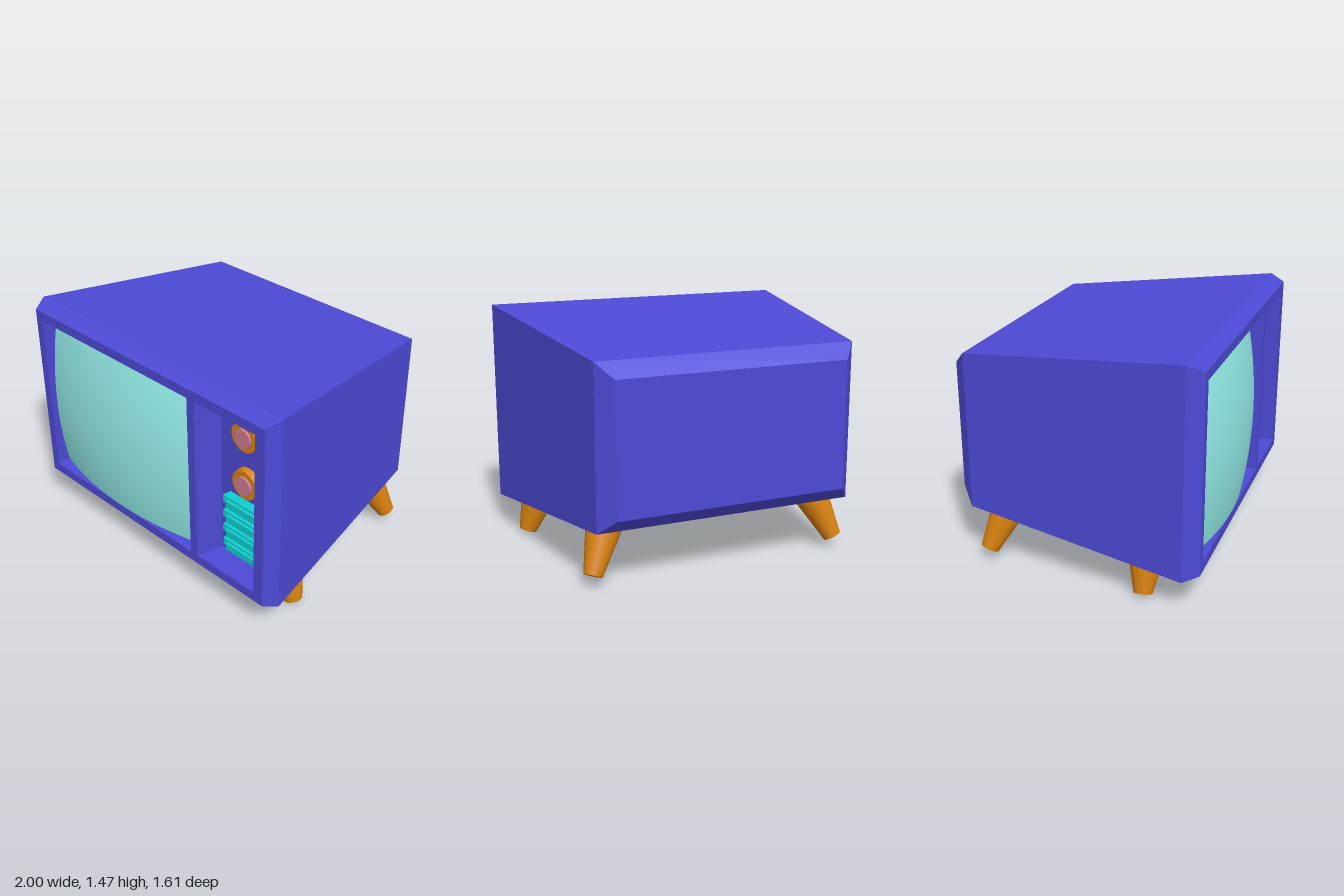
import * as THREE from 'three';

const mat = (color, extra = {}) => {
  const m = new THREE.MeshStandardMaterial(extra);
  m.color.set(color);
  return m;
};
const BLUE = mat(0x4d4ad6, { flatShading: true });
const ORANGE = mat(0xd9820f);
const PINK = mat(0xcf7a92);
const CYAN = mat(0x10d0d0, { flatShading: true });
const GLASS = mat(0x96f0ec, { side: THREE.DoubleSide });

// Rectangular rings [x0, x1, y0, y1, z], front to back, closed at the back.
// inward = true turns the faces to the inside, for a recess.
function loft(rings, inward = false) {
  const pos = [];
  const corners = rings.map(([x0, x1, y0, y1, z]) =>
    [[x0, y0, z], [x1, y0, z], [x1, y1, z], [x0, y1, z]]);
  const quad = (a, b, c, d) => {
    const q = inward ? [a, c, b, a, d, c] : [a, b, c, a, c, d];
    q.forEach((p) => pos.push(...p));
  };
  for (let k = 0; k < corners.length - 1; k++) {
    const a = corners[k], b = corners[k + 1];
    for (let i = 0; i < 4; i++) {
      const j = (i + 1) % 4;
      quad(a[i], b[i], b[j], a[j]);
    }
  }
  const e = corners[corners.length - 1];
  quad(e[3], e[2], e[1], e[0]);
  const g = new THREE.BufferGeometry();
  g.setAttribute('position', new THREE.Float32BufferAttribute(pos, 3));
  g.computeVertexNormals();
  return g;
}

function rectPath(x0, x1, y0, y1, Type = THREE.Shape) {
  return new Type([[x0, y0], [x1, y0], [x1, y1], [x0, y1]].map((p) => new THREE.Vector2(...p)));
}

// Tapered round bar between two points
function taper(bottom, top, rBottom, rTop) {
  const a = new THREE.Vector3(...bottom), b = new THREE.Vector3(...top);
  const dir = b.clone().sub(a);
  const g = new THREE.CylinderGeometry(rTop, rBottom, dir.length(), 32);
  g.applyQuaternion(new THREE.Quaternion().setFromUnitVectors(new THREE.Vector3(0, 1, 0), dir.normalize()));
  const mid = a.add(b).multiplyScalar(0.5);
  return g.translate(mid.x, mid.y, mid.z);
}

export function createModel() {
  const group = new THREE.Group();
  const add = (name, geometry, material, parent = group) => {
    const mesh = new THREE.Mesh(geometry, material);
    mesh.name = name;
    parent.add(mesh);
    return mesh;
  };

  // Tapered cabinet with chamfered front and back rims
  const front = 0.76, floor = 0.59;
  const shell = loft([
    [-0.96, 0.96, 0.24, 1.435, front],
    [-1, 1, 0.2, 1.475, 0.665],
    [-0.825, 0.805, 0.35, 1.325, -0.715],
    [-0.74, 0.715, 0.44, 1.235, -0.805],
  ]);
  add('cabinet', shell, BLUE);

  // Front frame with the screen and control openings
  const screenBox = [-0.905, 0.38, 0.3, 1.375];
  const controlBox = [0.435, 0.89, 0.3, 1.375];
  const face = rectPath(-0.96, 0.96, 0.24, 1.435);
  face.holes.push(rectPath(...screenBox, THREE.Path), rectPath(...controlBox, THREE.Path));
  add('frontFrame', new THREE.ShapeGeometry(face).translate(0, 0, front), BLUE);
  add('screenRecess', loft([[...screenBox, front], [...screenBox, floor]], true), BLUE);
  add('controlRecess', loft([[...controlBox, front], [0.475, 0.89, 0.3, 1.375, floor]], true), BLUE);

  // Bulging screen, top corners cut off
  const halfW = 0.642, halfH = 0.537;
  const screen = new THREE.PlaneGeometry(2, 2, 32, 32);
  const p = screen.attributes.position;
  for (let i = 0; i < p.count; i++) {
    const u = p.getX(i), v = p.getY(i);
    const sum = Math.abs(u) + Math.abs(v);
    const limit = v > 0 ? 1.86 : 1.97;
    const s = sum > limit ? limit / sum : 1;
    const x = u * s * halfW, y = v * s * halfH + 0.8375;
    p.setXYZ(i, x - 0.2625, y, 0.808 - 0.22 * x * x - 0.2 * (y - 0.79) ** 2);
  }
  screen.computeVertexNormals();
  add('screen', screen, GLASS);

  // Two dials
  [[0.685, 1.195], [0.69, 0.88]].forEach(([x, y]) => {
    const dial = new THREE.Group();
    dial.name = 'dial';
    dial.position.set(x, y, floor);
    group.add(dial);
    add('dialRing', taper([0, 0, -0.01], [0, 0, 0.04], 0.098, 0.092), ORANGE, dial);
    add('dialCap', taper([0, 0, 0.03], [0, 0, 0.055], 0.058, 0.058), PINK, dial);
  });

  // Speaker grille with four slotted bars
  const grille = new THREE.Group();
  grille.name = 'speakerGrille';
  group.add(grille);
  add('grillePlate', new THREE.BoxGeometry(0.28, 0.41, 0.05).translate(0.685, 0.54, 0.605), CYAN, grille);
  for (let i = 0; i < 4; i++) {
    const bar = rectPath(-0.141, 0.141, -0.024, 0.024);
    bar.holes.push(rectPath(-0.117, 0.117, -0.01, 0.01, THREE.Path));
    const g = new THREE.ExtrudeGeometry(bar, { depth: 0.03, bevelEnabled: false });
    add('grilleBar', g.translate(0.685, 0.725 - i * 0.104, 0.62), CYAN, grille);
  }

  // Splayed legs
  for (const s of [-1, 1]) {
    add('frontLeg', taper([s * 0.89, 0.02, 0.405], [s * 0.805, 0.27, 0.4], 0.056, 0.118), ORANGE);
    add('backLeg', taper([s * 0.8, 0.068, -0.622], [s * 0.675, 0.37, -0.51], 0.056, 0.118), ORANGE);
  }
  return group;
}
